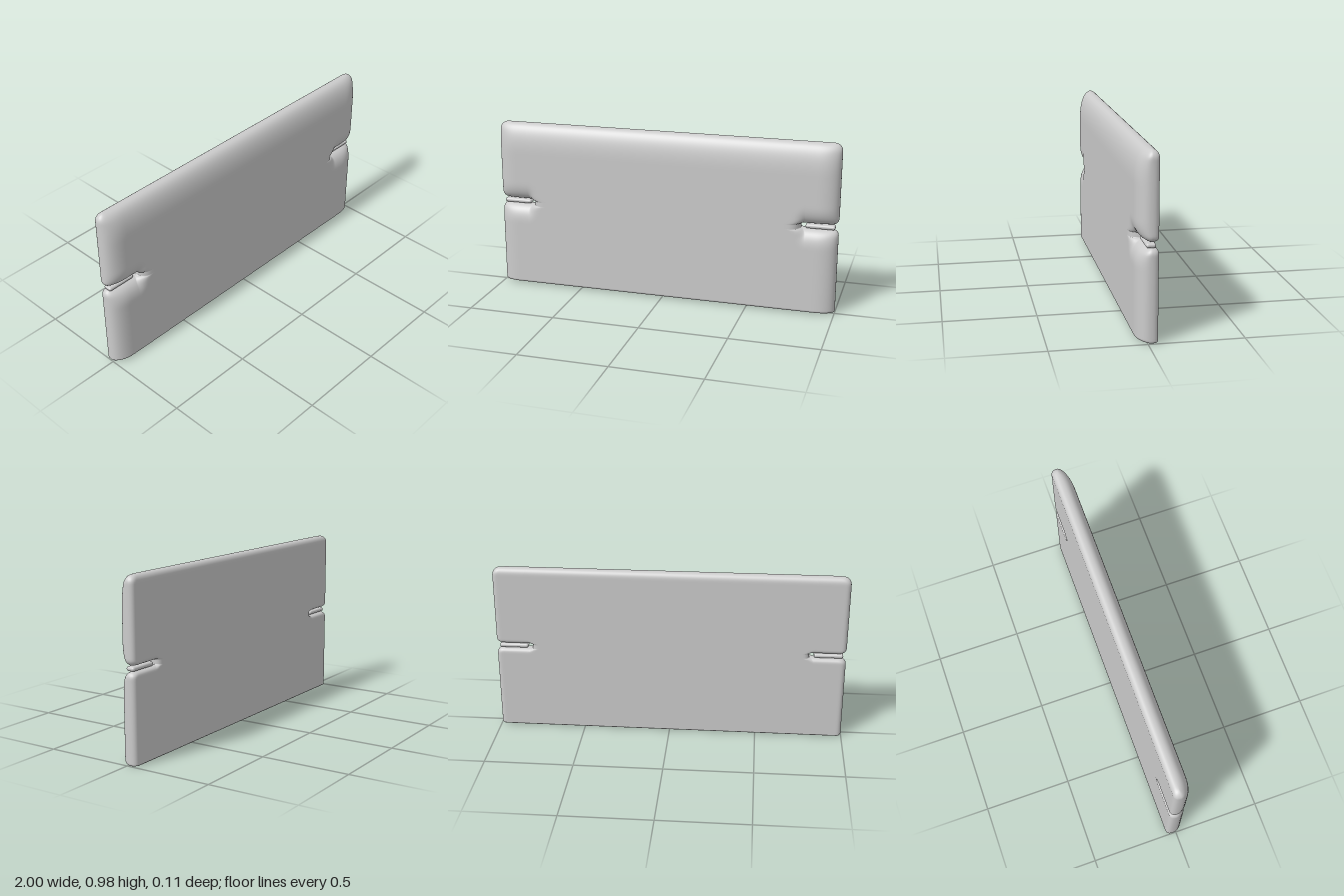
import * as THREE from 'three';
import { mergeVertices } from 'three/addons/utils/BufferGeometryUtils.js';
import { RoundedBoxGeometry } from 'three/addons/geometries/RoundedBoxGeometry.js';

const TOP = 0.98, SLOT_Y = 0.505, SLOT_HALF = 0.015, SLOT_END = 0.82;
const SEAM_Z = -0.02, FRONT = 0.075, BACK = 0.035;

// Samples between stops, crowded towards both ends of each span
function spaced(stops, counts) {
  const out = [stops[0]];
  counts.forEach((n, k) => {
    for (let i = 1; i <= n; i++) {
      const t = (1 - Math.cos(Math.PI * i / n)) / 2;
      out.push(stops[k] + (stops[k + 1] - stops[k]) * t);
    }
  });
  return out;
}

// Rounded edge: 0 at the rim, 1 once the distance reaches the width
function round(d, width, power = 2.3) {
  const t = Math.min(1, Math.max(0, d / width));
  return Math.pow(1 - Math.pow(1 - t, power), 1 / power);
}

// Amount a corner of radius r cuts from the side, at distance d from its edge
const cornerCut = (d, r) => (d >= r ? 0 : r - Math.sqrt(Math.max(0, r * r - (r - d) ** 2)));

// Half width of the panel at a height, with rounded corners and slot lips
function halfWidth(y) {
  const lip = Math.max(0, Math.abs(y - SLOT_Y) - SLOT_HALF);
  return 1 - Math.max(cornerCut(TOP - y, 0.045), cornerCut(y, 0.012), cornerCut(lip, 0.035));
}

// Fullness of one face, from the softness of each rim
function fullness(u, y, rim) {
  const side = 1 - Math.abs(u);
  const sx = Math.max(0, SLOT_END - Math.abs(u)) / rim.slotX;
  const sy = Math.max(0, Math.abs(y - SLOT_Y) - SLOT_HALF) / rim.slotY;
  return round(side, rim.side) * round(TOP - y, rim.top)
    * round(y, rim.bottom) * round(Math.hypot(sx, sy), 1);
}

function panelGeometry() {
  const us = spaced([-1, -SLOT_END, SLOT_END, 1], [22, 50, 22]);
  const ys = spaced([0, 0.025, SLOT_Y - SLOT_HALF, SLOT_Y + SLOT_HALF, TOP], [8, 40, 4, 44]);
  const frontRim = { side: 0.12, top: 0.18, bottom: 0.022, slotX: 0.07, slotY: 0.11 };
  const backRim = { side: 0.03, top: 0.04, bottom: 0.004, slotX: 0.03, slotY: 0.025 };
  const pos = [], index = [], cols = us.length, layer = cols * ys.length;

  for (const [rim, depth] of [[frontRim, FRONT], [backRim, -BACK]]) {
    for (const y of ys) {
      for (const u of us) {
        pos.push(u * halfWidth(y), y, SEAM_Z + depth * fullness(u, y, rim));
      }
    }
  }
  for (let j = 0; j < ys.length - 1; j++) {
    for (let i = 0; i < cols - 1; i++) {
      // Leave the two slots open
      const midU = Math.abs(us[i] + us[i + 1]) / 2, midY = (ys[j] + ys[j + 1]) / 2;
      if (midU > SLOT_END && Math.abs(midY - SLOT_Y) < SLOT_HALF) continue;
      const a = j * cols + i, b = a + 1, d = a + cols, c = d + 1;
      index.push(a, b, c, a, c, d);
      index.push(a + layer, c + layer, b + layer, a + layer, d + layer, c + layer);
    }
  }
  const raw = new THREE.BufferGeometry();
  raw.setAttribute('position', new THREE.Float32BufferAttribute(pos, 3));
  raw.setIndex(index);
  const geo = mergeVertices(raw, 1e-5);
  geo.computeVertexNormals();
  return geo;
}

export function createModel() {
  const group = new THREE.Group();
  group.name = 'cushionPanel';
  const material = new THREE.MeshStandardMaterial({ color: 0xcccccc });

  // Soft slab with a slot in each side
  const panel = new THREE.Mesh(panelGeometry(), material);
  panel.name = 'panel';
  group.add(panel);

  // Small rounded tab lying in each slot
  for (const [side, name] of [[1, 'leftTab'], [-1, 'rightTab']]) {
    const tab = new THREE.Mesh(new RoundedBoxGeometry(0.165, 0.024, 0.05, 5, 0.0115), material);
    tab.name = name;
    tab.position.set(side * 0.9, 0.503, -0.016);
    group.add(tab);
  }
  return group;
}
